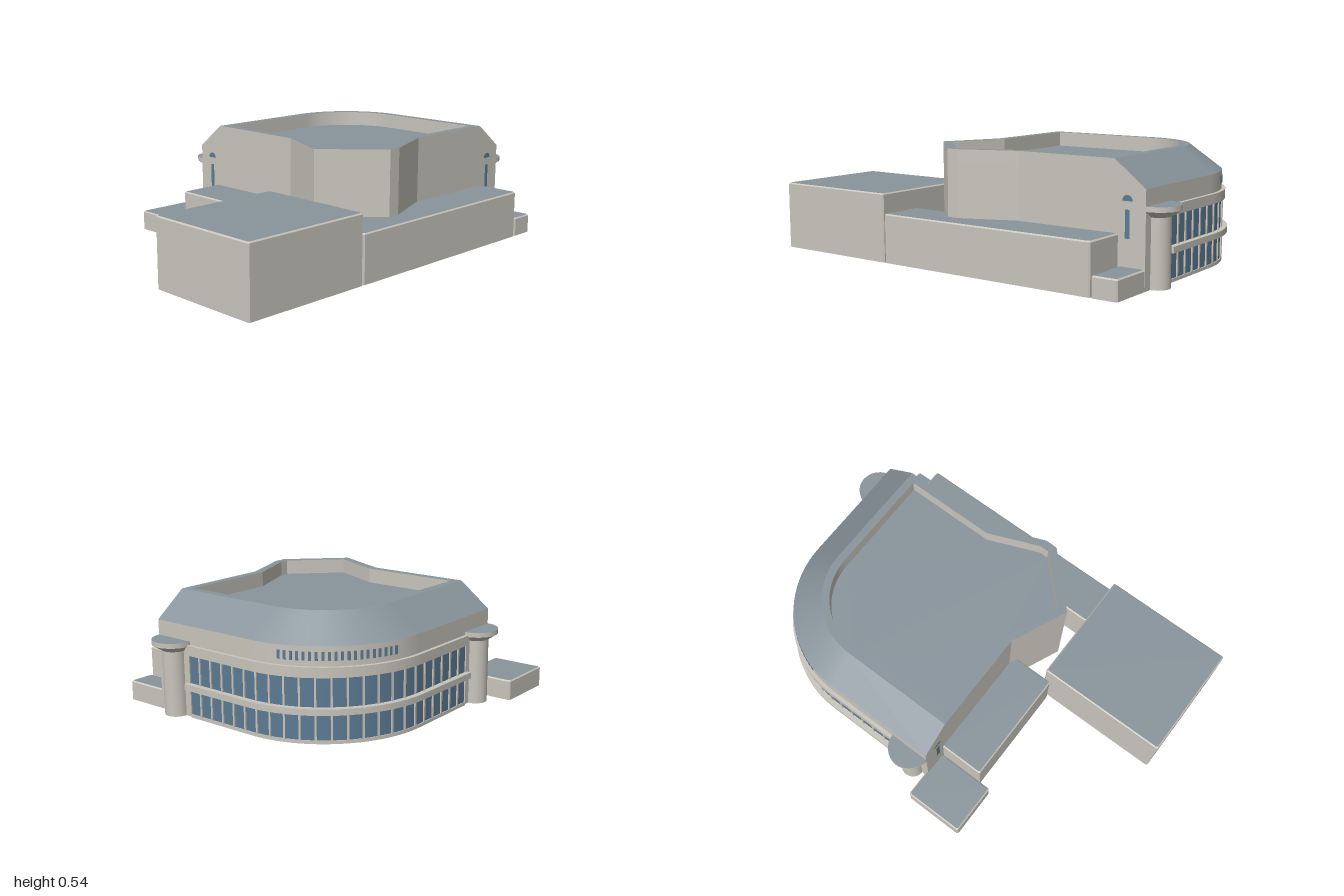
import * as THREE from 'three';
import { mergeGeometries, toCreasedNormals } from 'three/addons/utils/BufferGeometryUtils.js';

const mat = (color) => new THREE.MeshStandardMaterial({ color, side: THREE.DoubleSide });
const wallMat = mat(0xc8c5bc), roofMat = mat(0x89949c), glassMat = mat(0x5b7a93);

// Rounded corner of the hall: arc centre, wall radius and roof-edge radius
const CX = 0.39, CZ = -0.07, R = 0.505, TOP_R = 0.355;
const END = 0.565, GLASS_END = 0.37;
const EAVE = 0.42, TOP = 0.535, DECK = 0.465;

// Plan line at radius r: straight back side, quarter arc, straight right side
function path(r, end) {
  const pts = [[CX - end, CZ - r]];
  for (let i = 0; i <= 32; i++) {
    const a = (i / 32) * Math.PI / 2;
    pts.push([CX + r * Math.sin(a), CZ - r * Math.cos(a)]);
  }
  pts.push([CX + r, CZ + end]);
  return pts;
}

// Surface between plan line a at height ya and plan line b at height yb
function ribbon(a, ya, b, yb, flat = false) {
  const pos = [], idx = [];
  a.forEach(([x, z], i) => pos.push(x, ya, z, b[i][0], yb, b[i][1]));
  for (let i = 0; i < a.length - 1; i++) {
    const k = i * 2;
    idx.push(k, k + 3, k + 2, k, k + 1, k + 3);
  }
  let g = new THREE.BufferGeometry();
  g.setAttribute('position', new THREE.Float32BufferAttribute(pos, 3));
  g.setIndex(idx);
  if (flat) g = g.toNonIndexed();
  g.computeVertexNormals();
  return g;
}

const planShape = (pts) => new THREE.Shape(pts.map(([x, z]) => new THREE.Vector2(x, -z)));
const flatPlate = (pts, y) => new THREE.ShapeGeometry(planShape(pts)).rotateX(-Math.PI / 2).translate(0, y, 0);
const slab = (shape, y0, y1) =>
  new THREE.ExtrudeGeometry(shape, { depth: y1 - y0, bevelEnabled: false }).rotateX(-Math.PI / 2).translate(0, y0, 0);

// Projecting band that follows the curved facade
const band = (r0, r1, y0, y1, end) =>
  slab(planShape([...path(r1, end), ...path(r0, end).reverse()]), y0, y1);

// Point and outward heading at distance s along the glazed facade
function facadeAt(s, r) {
  const arc = R * Math.PI / 2;
  if (s < GLASS_END) return { x: CX - GLASS_END + s, z: CZ - r, turn: Math.PI };
  if (s > GLASS_END + arc) return { x: CX + r, z: CZ + s - GLASS_END - arc, turn: Math.PI / 2 };
  const a = (s - GLASS_END) / R;
  return { x: CX + r * Math.sin(a), z: CZ - r * Math.cos(a), turn: Math.PI - a };
}

function facadeBox(s, r, w, h, d, y) {
  const p = facadeAt(s, r);
  return new THREE.BoxGeometry(w, h, d).rotateY(p.turn).translate(p.x, y, p.z);
}

// Flat-roofed wing with finely chamfered edges and an open base
function wing(name, x0, x1, z0, z1, h) {
  const c = 0.006;
  const ring = (i) => {
    const [a, b, d, e] = [x0 + i, x1 - i, z0 + i, z1 - i];
    return [[a + c, d], [b - c, d], [b, d + c], [b, e - c], [b - c, e], [a + c, e], [a, e - c], [a, d + c], [a + c, d]];
  };
  const g = new THREE.Group();
  g.name = name;
  const walls = mergeGeometries([
    ribbon(ring(0), 0, ring(0), h - c, true),
    ribbon(ring(0), h - c, ring(c), h, true),
  ]);
  add(g, name + 'Walls', walls, wallMat);
  add(g, name + 'Roof', flatPlate(ring(c).slice(0, -1), h), roofMat);
  return g;
}

function add(parent, name, geometry, material) {
  const m = new THREE.Mesh(geometry, material);
  m.name = name;
  parent.add(m);
  return m;
}

export function createModel() {
  const model = new THREE.Group();
  model.name = 'building';

  // Curved facade wall and sloping roof
  const eave = path(R, END), crown = path(TOP_R, END);
  add(model, 'curvedWall', ribbon(eave, 0, eave, EAVE), wallMat);
  add(model, 'slopingRoof', ribbon(eave, EAVE, crown, TOP), roofMat);

  // Angular walls around the front and left sides
  const frontZ = CZ + END, leftX = CX - END;
  const angular = [
    [CX + TOP_R, frontZ], [0.26, frontZ], [0, 0.597], [-0.06, 0.597],
    [-0.295, 0.355], [leftX, 0.08], [leftX, CZ - TOP_R],
  ];
  add(model, 'angularWall', ribbon(angular, 0, angular, DECK, true), wallMat);

  // Gable ends closing the sloping roof
  const gable = new THREE.Shape([[TOP_R, 0], [R, 0], [R, EAVE], [TOP_R, TOP]].map((p) => new THREE.Vector2(...p)));
  add(model, 'frontGable', new THREE.ShapeGeometry(gable), wallMat).position.set(CX, 0, frontZ);
  const leftGable = add(model, 'leftGable', new THREE.ShapeGeometry(gable), wallMat);
  leftGable.position.set(leftX, 0, CZ);
  leftGable.rotation.y = Math.PI / 2;

  // Parapet around a sunken roof deck
  const inner = [
    ...path(TOP_R - 0.038, END - 0.04),
    [0.253, 0.455], [0.005, 0.556], [-0.04, 0.556], [-0.247, 0.348], [leftX + 0.04, 0.09],
  ];
  const rim = planShape([...crown, ...angular.slice(1, -1)]);
  rim.holes.push(new THREE.Path(inner.map(([x, z]) => new THREE.Vector2(x, -z))));
  add(model, 'parapet', slab(rim, DECK, TOP), [roofMat, wallMat]);
  add(model, 'roofDeck', flatPlate(inner, DECK), roofMat);

  // Two storeys of glazing with mullions
  const length = 2 * GLASS_END + R * Math.PI / 2, panes = 23;
  const glassLine = path(R + 0.003, GLASS_END);
  const mullions = [];
  for (const [name, y0, y1] of [['lowerGlazing', 0.015, 0.135], ['upperGlazing', 0.16, 0.292]]) {
    add(model, name, ribbon(glassLine, y0, glassLine, y1), glassMat);
    for (let i = 0; i <= panes; i++)
      mullions.push(facadeBox((i / panes) * length, R + 0.004, 0.009, y1 - y0, 0.01, (y0 + y1) / 2));
  }
  add(model, 'mullions', mergeGeometries(mullions), wallMat);

  // Horizontal bands
  add(model, 'baseBand', band(R - 0.01, R + 0.008, 0, 0.015, GLASS_END), wallMat);
  add(model, 'middleBand', band(R - 0.01, R + 0.03, 0.132, 0.16, GLASS_END + 0.01), wallMat);
  add(model, 'upperBand', band(R - 0.01, R + 0.017, 0.29, 0.335, GLASS_END + 0.01), wallMat);

  // Row of small slits under the eave
  const slits = [];
  for (let i = 0; i < 20; i++) {
    const a = THREE.MathUtils.degToRad(16 + (58 * i) / 19);
    slits.push(facadeBox(GLASS_END + R * (Math.PI / 2 - a), R, 0.012, 0.038, 0.006, 0.378));
  }
  add(model, 'eaveSlits', mergeGeometries(slits), glassMat);

  // Columns with flared caps at both ends of the glazing
  const profile = [[0.057, 0], [0.057, 0.3], [0.1, 0.328], [0.1, 0.35]].map((p) => new THREE.Vector2(...p));
  const columnGeo = toCreasedNormals(new THREE.LatheGeometry(profile, 32), 0.5);
  const capGeo = new THREE.CircleGeometry(0.1, 32).rotateX(-Math.PI / 2);
  for (const [name, x, z] of [['rightColumn', CX + R, CZ + 0.465], ['backColumn', CX - 0.465, CZ - R]]) {
    const column = new THREE.Group();
    column.name = name;
    add(column, name + 'Shaft', columnGeo, wallMat);
    add(column, name + 'Top', capGeo, roofMat).position.y = 0.35;
    column.position.set(x, 0, z);
    model.add(column);
  }

  // Narrow window with a half-round light above it, one on each gable
  for (const [name, x, z, turn] of [
    ['frontSlitWindow', CX + 0.42, frontZ + 0.002, 0],
    ['leftSlitWindow', leftX - 0.002, CZ - 0.42, -Math.PI / 2],
  ]) {
    const win = new THREE.Group();
    win.name = name;
    add(win, 'slitPane', new THREE.PlaneGeometry(0.022, 0.12), glassMat).position.y = 0.27;
    add(win, 'archPane', new THREE.CircleGeometry(0.025, 16, 0, Math.PI), glassMat).position.y = 0.365;
    win.position.set(x, 0, z);
    win.rotation.y = turn;
    model.add(win);
  }

  // Low wings around the hall
  model.add(
    wing('largeWing', -1, -0.355, 0.13, 0.708, 0.32),
    wing('frontWing', -0.35, 0.767, 0.492, 0.708, 0.228),
    wing('frontStep', 0.773, 0.895, 0.492, 0.708, 0.092),
    wing('leftWing', -0.394, -0.168, -0.452, 0.122, 0.228),
    wing('backStep', -0.46, -0.164, -0.712, -0.458, 0.095),
  );
  return model;
}
